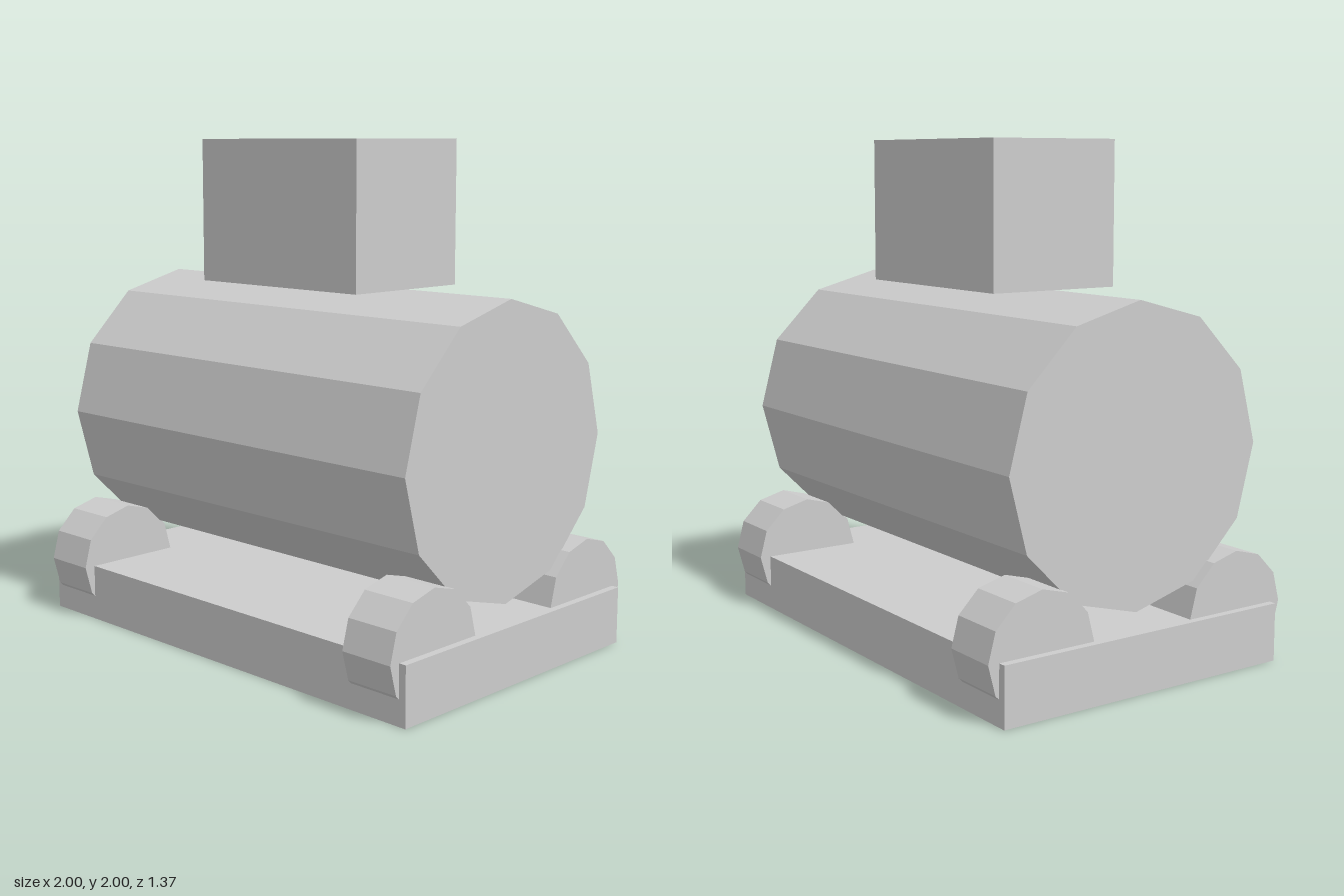
import * as THREE from 'three';

export function createModel() {
  const group = new THREE.Group();
  const grey = new THREE.MeshStandardMaterial({ color: 0xcccccc, flatShading: true });
  grey.name = 'light grey';

  const add = (name, geometry, x, y, z) => {
    const mesh = new THREE.Mesh(geometry, grey);
    mesh.name = name;
    mesh.position.set(x, y, z);
    group.add(mesh);
  };
  // twelve-sided cylinder lying along x
  const drum = (radius, length) =>
    new THREE.CylinderGeometry(radius, radius, length, 12).rotateZ(Math.PI / 2);

  // base slab, tank and top box
  add('base', new THREE.BoxGeometry(2, 0.229, 1.28), 0, 0.1145, 0);
  add('tank', drum(0.571, 1.857), 0, 0.858, 0);
  add('topBox', new THREE.BoxGeometry(0.854, 0.571, 0.571), 0, 1.7145, 0);

  // four support rollers sunk into the base corners
  const roller = drum(0.229, 0.226);
  for (const sx of [-1, 1])
    for (const sz of [-1, 1])
      add((sz > 0 ? 'front' : 'back') + (sx > 0 ? 'Left' : 'Right') + 'Roller',
        roller, sx * 0.857, 0.229, sz * 0.457);

  return group;
}
